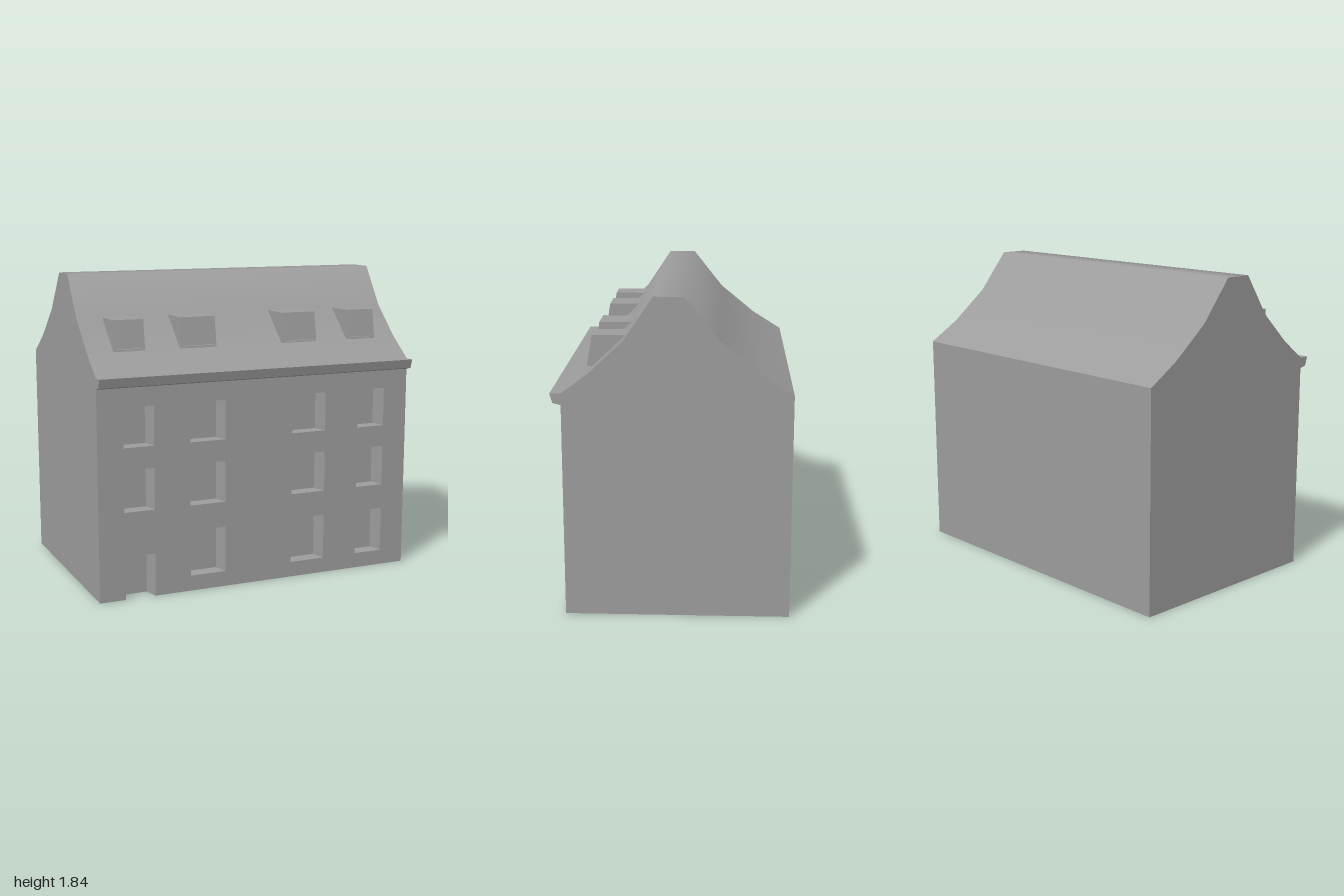
import * as THREE from 'three';

const material = new THREE.MeshStandardMaterial({ color: 0x9c9c9c, side: THREE.DoubleSide });
const FRONT = 0.61, BACK = -0.67, DEPTH = 0.09;

// Roof line as [z, y], back eave to front eave
const roofLine = [[BACK, 1.3], [-0.48, 1.42], [-0.26, 1.6], [-0.07, 1.838],
  [0.1, 1.838], [0.26, 1.6], [0.45, 1.42], [FRONT, 1.3]];

// Openings: [x0, x1] per column, [y0, y1] per storey
const columns = [[-0.845, -0.662], [-0.44, -0.22], [0.215, 0.437], [0.66, 0.842]];
const storeys = [[0.092, 0.365], [0.517, 0.762], [0.892, 1.125]];
const doorTop = 0.255;

function mesh(name, geometry) {
  const m = new THREE.Mesh(geometry, material);
  m.name = name;
  return m;
}

// Flat-shaded polygons; each is a convex corner list, counter-clockwise from outside
function facets(polygons) {
  const positions = [];
  for (const p of polygons)
    for (let i = 1; i < p.length - 1; i++) positions.push(...p[0], ...p[i], ...p[i + 1]);
  const g = new THREE.BufferGeometry();
  g.setAttribute('position', new THREE.Float32BufferAttribute(positions, 3));
  g.computeVertexNormals();
  return g;
}

// Quads joining an outer corner loop to an inner one
function ring(outer, inner) {
  return outer.map((a, i) => {
    const j = (i + 1) % outer.length;
    return [a, outer[j], inner[j], inner[i]];
  });
}

const shapeOf = (points) => new THREE.Shape(points.map(([x, y]) => new THREE.Vector2(x, y)));

// Rectangle corners; z may vary with height
const rect = (x0, x1, y0, y1, zAt) =>
  [[x0, y0], [x1, y0], [x1, y1], [x0, y1]].map(([x, y]) => [x, y, zAt(y)]);

// Recess with splayed jambs and a closed pane
function windowRecess(x0, x1, y0, y1) {
  const outer = rect(x0, x1, y0, y1, () => FRONT);
  const inner = rect(x0 + 0.022, x1 - 0.022, y0, y1, () => FRONT - DEPTH);
  return mesh('window', facets([...ring(outer, inner), inner]));
}

// Door recess without a sill
function doorRecess(x0, x1) {
  const outer = rect(x0, x1, 0, doorTop, () => FRONT);
  const inner = rect(x0 + 0.022, x1 - 0.022, 0, doorTop - 0.01, () => FRONT - DEPTH);
  return mesh('door', facets([...ring(outer, inner).slice(1), inner]));
}

// Dormer: flat top, triangular cheeks, leaning front with a framed pane
function dormer(x0, x1) {
  const top = 1.597, low = 1.42, f = 0.011;
  const front = (y) => 0.48 - 0.03 * (y - low) / (top - low);
  const outer = rect(x0, x1, low, top, front);
  const frame = rect(x0 + f, x1 - f, low + f, top - f, front);
  const pane = rect(x0 + f, x1 - f, low + f, top - f, (y) => front(y) - 0.02);
  const [bl, br, tr, tl] = outer;
  const backLeft = [x0, top, 0.26], backRight = [x1, top, 0.26];
  const footLeft = [x0, low, 0.45], footRight = [x1, low, 0.45];
  return mesh('dormer', facets([
    ...ring(outer, frame), ...ring(frame, pane), pane,
    [tl, tr, backRight, backLeft],
    [bl, tl, backLeft, footLeft],
    [br, footRight, backRight, tr],
    [bl, footLeft, footRight, br],
  ]));
}

// Smooth roof sheet bent along the roof line, its normals averaged between neighbouring slopes
function roofSheet() {
  const slopes = roofLine.slice(1).map(([z, y], i) =>
    new THREE.Vector3(0, z - roofLine[i][0], roofLine[i][1] - y).normalize());
  const normals = roofLine.map((_, i) =>
    (slopes[i - 1] ?? slopes[i]).clone().add(slopes[i] ?? slopes[i - 1]).normalize());
  const roof = new THREE.PlaneGeometry(2, 1, 1, roofLine.length - 1);
  const { position, normal } = roof.attributes;
  for (let i = 0; i < position.count; i++) {
    const row = Math.floor(i / 2);
    const [z, y] = roofLine[row];
    position.setXYZ(i, position.getX(i), y, z);
    normal.setXYZ(i, ...normals[row].toArray());
  }
  return mesh('roof', roof);
}

export function createModel() {
  const house = new THREE.Group();
  house.name = 'house';

  // Front wall with a door notch and window holes
  const [d0, d1] = columns[0];
  const wall = shapeOf([[-1, 0], [d0, 0], [d0, doorTop], [d1, doorTop], [d1, 0], [1, 0], [1, 1.3], [-1, 1.3]]);
  const openings = new THREE.Group();
  openings.name = 'openings';
  storeys.forEach(([y0, y1], s) => columns.forEach(([x0, x1], c) => {
    if (s === 0 && c === 0) {
      openings.add(doorRecess(x0, x1));
      return;
    }
    wall.holes.push(new THREE.Path([[x0, y0], [x0, y1], [x1, y1], [x1, y0]]
      .map(([x, y]) => new THREE.Vector2(x, y))));
    openings.add(windowRecess(x0, x1, y0, y1));
  }));
  const frontWall = mesh('frontWall', new THREE.ShapeGeometry(wall));
  frontWall.position.z = FRONT;
  house.add(frontWall, openings);

  // Back wall
  house.add(mesh('backWall', facets([[[1, 0, BACK], [-1, 0, BACK], [-1, 1.3, BACK], [1, 1.3, BACK]]])));

  // Gable walls follow the roof line
  for (const side of [-1, 1]) {
    const outline = [[BACK, 0], ...roofLine, [FRONT, 0]].map(([z, y]) => [-side * z, y]);
    const gable = mesh(side > 0 ? 'leftGable' : 'rightGable',
      new THREE.ShapeGeometry(shapeOf(outline)).rotateY(side * Math.PI / 2));
    gable.position.x = side;
    house.add(gable);
  }

  house.add(roofSheet());

  // Eaves cornice along the front
  const cornice = [[0.605, 1.298], [0.605, 1.235], [FRONT, 1.235], [0.655, 1.247], [0.671, 1.3], [FRONT, 1.3]];
  const corniceGeometry = new THREE.ExtrudeGeometry(shapeOf(cornice.map(([z, y]) => [-z, y])),
    { depth: 2, bevelEnabled: false }).rotateY(Math.PI / 2).translate(-1, 0, 0);
  house.add(mesh('cornice', corniceGeometry));

  // Dormers line up with the window columns
  for (const [x0, x1] of columns) house.add(dormer(x0, x1));

  return house;
}
